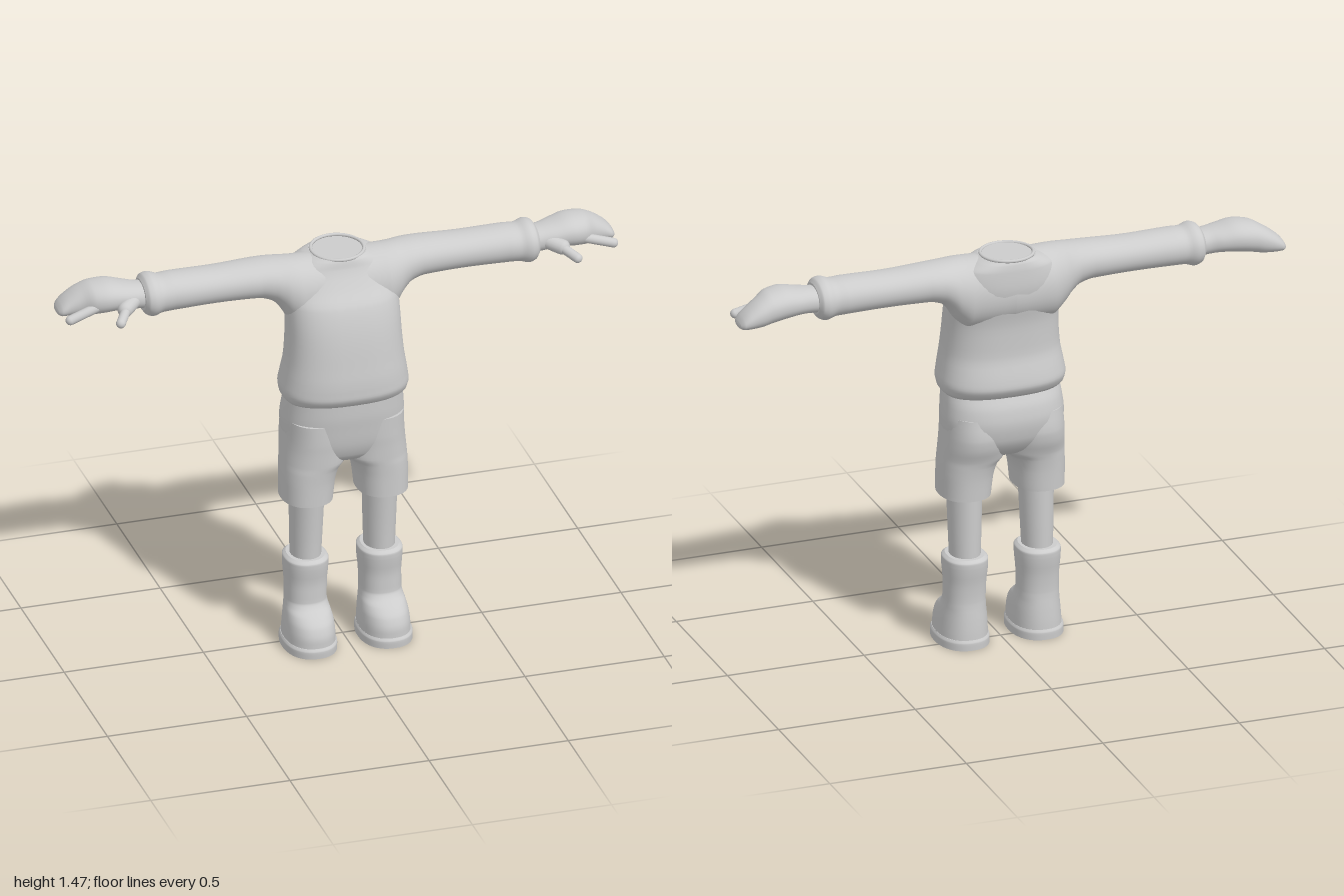
import * as THREE from 'three';

const clay = new THREE.MeshStandardMaterial({ color: 0xcccccc });
clay.name = 'light grey';

// Monotone cubic interpolation of rows [t, p0, p1, q0, q1] along t
function smoothRows(rows, sub) {
  const slope = (i, k) => (rows[i + 1][k] - rows[i][k]) / (rows[i + 1][0] - rows[i][0]);
  const last = rows.length - 1;
  const tangent = (i, k) => {
    if (i === 0) return slope(0, k);
    if (i === last) return slope(last - 1, k);
    const a = slope(i - 1, k), b = slope(i, k);
    return a * b <= 0 ? 0 : 2 * a * b / (a + b);
  };
  const out = [];
  for (let i = 0; i < last; i++) {
    const h = rows[i + 1][0] - rows[i][0];
    for (let s = 0; s < sub; s++) {
      const u = s / sub, u2 = u * u, u3 = u2 * u;
      out.push(rows[i].map((v, k) => k === 0 ? v + u * h
        : (2 * u3 - 3 * u2 + 1) * v + (u3 - 2 * u2 + u) * h * tangent(i, k)
        + (3 * u2 - 2 * u3) * rows[i + 1][k] + (u3 - u2) * h * tangent(i + 1, k)));
    }
  }
  out.push(rows[last]);
  return out;
}

// Skin over rounded cross-sections; axis 'y' rows are [y, x0, x1, z0, z1],
// axis 'x' rows are [x, y0, y1, z0, z1]; side -1 mirrors in x
function loft(name, rows, { axis = 'y', side = 1, power = 2, sub = 4 } = {}) {
  const n = 40, pos = [], idx = [];
  const flip = (axis === 'x') !== (side < 0);
  const rings = smoothRows(rows, sub);
  const add = (t, p, q) => axis === 'y' ? pos.push(side * p, t, q) : pos.push(side * t, p, q);
  const tri = (a, b, c) => flip ? idx.push(a, c, b) : idx.push(a, b, c);
  const round = v => Math.sign(v) * Math.pow(Math.abs(v), 2 / power);
  const addRing = ([t, p0, p1, q0, q1]) => {
    for (let j = 0; j < n; j++) {
      const a = j / n * Math.PI * 2;
      add(t, (p0 + p1) / 2 + (p1 - p0) / 2 * round(Math.cos(a)),
        (q0 + q1) / 2 + (q1 - q0) / 2 * round(Math.sin(a)));
    }
  };
  rings.forEach(addRing);
  for (let i = 0; i < rings.length - 1; i++) {
    for (let j = 0; j < n; j++) {
      const a = i * n + j, b = i * n + (j + 1) % n;
      tri(a, a + n, b);
      tri(b, a + n, b + n);
    }
  }
  // Flat end caps with their own vertices
  [rings[0], rings[rings.length - 1]].forEach((r, end) => {
    const start = pos.length / 3;
    addRing(r);
    add(r[0], (r[1] + r[2]) / 2, (r[3] + r[4]) / 2);
    for (let j = 0; j < n; j++) {
      const a = start + j, b = start + (j + 1) % n;
      if (end) tri(a, start + n, b); else tri(a, b, start + n);
    }
  });
  const g = new THREE.BufferGeometry();
  g.setAttribute('position', new THREE.Float32BufferAttribute(pos, 3));
  g.setIndex(idx);
  g.computeVertexNormals();
  const mesh = new THREE.Mesh(g, clay);
  mesh.name = name;
  return mesh;
}

// Round-ended finger between two points
function finger(name, from, to, r, side) {
  const a = new THREE.Vector3(side * from[0], from[1], from[2]);
  const b = new THREE.Vector3(side * to[0], to[1], to[2]);
  const mesh = new THREE.Mesh(new THREE.CapsuleGeometry(r, a.distanceTo(b), 8, 18), clay);
  mesh.name = name;
  mesh.position.copy(a).lerp(b, 0.5);
  mesh.quaternion.setFromUnitVectors(new THREE.Vector3(0, 1, 0), b.clone().sub(a).normalize());
  return mesh;
}

export function createModel() {
  const model = new THREE.Group();
  model.name = 'headlessFigure';

  // Sweater body with rolled hem
  model.add(loft('sweater', [
    [0.94, -0.208, 0.208, -0.13, 0.135],
    [0.955, -0.22, 0.22, -0.145, 0.153],
    [0.985, -0.225, 0.225, -0.16, 0.168],
    [1.02, -0.22, 0.22, -0.155, 0.168],
    [1.1, -0.207, 0.207, -0.138, 0.16],
    [1.2, -0.2, 0.2, -0.14, 0.146],
    [1.3, -0.198, 0.198, -0.158, 0.118],
    [1.36, -0.19, 0.19, -0.166, 0.075],
    [1.42, -0.165, 0.165, -0.162, 0.04],
    [1.445, -0.125, 0.125, -0.157, 0.033],
    [1.455, -0.098, 0.098, -0.152, 0.028]
  ], { power: 2.5 }));

  // Neck opening rim
  const collar = new THREE.Mesh(new THREE.TorusGeometry(0.092, 0.006, 10, 40), clay);
  collar.name = 'collar';
  collar.rotation.x = Math.PI / 2 + 0.03;
  collar.position.set(0, 1.457, -0.062);
  model.add(collar);

  // Shorts: seat
  model.add(loft('shortsSeat', [
    [0.695, -0.05, 0.05, -0.045, 0.045],
    [0.71, -0.12, 0.12, -0.085, 0.085],
    [0.74, -0.185, 0.185, -0.122, 0.112],
    [0.79, -0.212, 0.212, -0.15, 0.129],
    [0.85, -0.215, 0.215, -0.16, 0.138],
    [0.9, -0.211, 0.211, -0.153, 0.144],
    [0.95, -0.205, 0.205, -0.13, 0.146]
  ], { power: 2.5 }));

  for (const side of [1, -1]) {
    const label = side > 0 ? 'left' : 'right';

    // Sleeve, flared into the shoulder and ending in a cuff
    model.add(loft(label + 'Sleeve', [
      [0, 1.2, 1.452, -0.165, 0.06],
      [0.15, 1.2, 1.455, -0.155, 0.065],
      [0.19, 1.235, 1.456, -0.15, 0.055],
      [0.22, 1.28, 1.456, -0.148, 0.042],
      [0.25, 1.308, 1.456, -0.146, 0.033],
      [0.3, 1.322, 1.455, -0.144, 0.025],
      [0.45, 1.325, 1.45, -0.138, 0.018],
      [0.6, 1.322, 1.452, -0.137, 0.02],
      [0.64, 1.32, 1.45, -0.135, 0.02],
      [0.675, 1.311, 1.46, -0.145, 0.03],
      [0.695, 1.318, 1.455, -0.142, 0.026],
      [0.708, 1.335, 1.44, -0.125, 0.01]
    ], { axis: 'x', side, power: 2.1 }));

    // Mitten-like hand with separate index finger and thumb
    model.add(loft(label + 'Hand', [
      [0.68, 1.342, 1.43, -0.118, -0.002],
      [0.725, 1.345, 1.435, -0.12, 0],
      [0.77, 1.35, 1.443, -0.135, 0.005],
      [0.83, 1.346, 1.455, -0.15, 0.008],
      [0.88, 1.34, 1.45, -0.155, -0.003],
      [0.92, 1.335, 1.432, -0.156, -0.03],
      [0.96, 1.334, 1.405, -0.152, -0.045],
      [0.985, 1.335, 1.382, -0.145, -0.052],
      [0.997, 1.341, 1.364, -0.13, -0.066],
      [1, 1.346, 1.356, -0.115, -0.08]
    ], { axis: 'x', side, power: 2.2 }));
    model.add(finger(label + 'IndexFinger', [0.86, 1.385, -0.022], [0.975, 1.352, -0.008], 0.017, side));
    model.add(finger(label + 'ThumbBase', [0.74, 1.388, -0.025], [0.785, 1.376, 0.015], 0.027, side));
    model.add(finger(label + 'Thumb', [0.77, 1.383, 0], [0.82, 1.358, 0.077], 0.017, side));

    // Shorts: leg
    model.add(loft(label + 'ShortsLeg', [
      [0.56, 0.045, 0.225, -0.105, 0.115],
      [0.63, 0.037, 0.225, -0.11, 0.117],
      [0.68, 0.022, 0.223, -0.117, 0.12],
      [0.71, 0, 0.221, -0.125, 0.122],
      [0.76, 0, 0.217, -0.144, 0.125],
      [0.8, 0, 0.214, -0.15, 0.128],
      [0.87, 0.01, 0.21, -0.14, 0.13]
    ], { side, power: 2.3 }));

    // Bare shin
    model.add(loft(label + 'Shin', [
      [0.3, 0.08, 0.185, -0.068, 0.058],
      [0.4, 0.076, 0.188, -0.069, 0.065],
      [0.58, 0.07, 0.192, -0.07, 0.082]
    ], { side }));

    // Boot upper
    model.add(loft(label + 'Boot', [
      [0.03, 0.047, 0.223, -0.088, 0.16],
      [0.06, 0.048, 0.221, -0.087, 0.16],
      [0.1, 0.051, 0.217, -0.084, 0.148],
      [0.13, 0.056, 0.212, -0.081, 0.12],
      [0.15, 0.06, 0.208, -0.079, 0.088],
      [0.17, 0.062, 0.206, -0.078, 0.075],
      [0.23, 0.061, 0.206, -0.082, 0.075],
      [0.3, 0.056, 0.21, -0.093, 0.084],
      [0.32, 0.056, 0.21, -0.094, 0.085],
      [0.332, 0.068, 0.198, -0.082, 0.072]
    ], { side, power: 2.3 }));

    // Boot sole
    model.add(loft(label + 'Sole', [
      [0, 0.042, 0.229, -0.094, 0.166],
      [0.025, 0.042, 0.229, -0.095, 0.168],
      [0.036, 0.047, 0.224, -0.09, 0.162]
    ], { side, power: 2.3 }));
  }
  return model;
}
